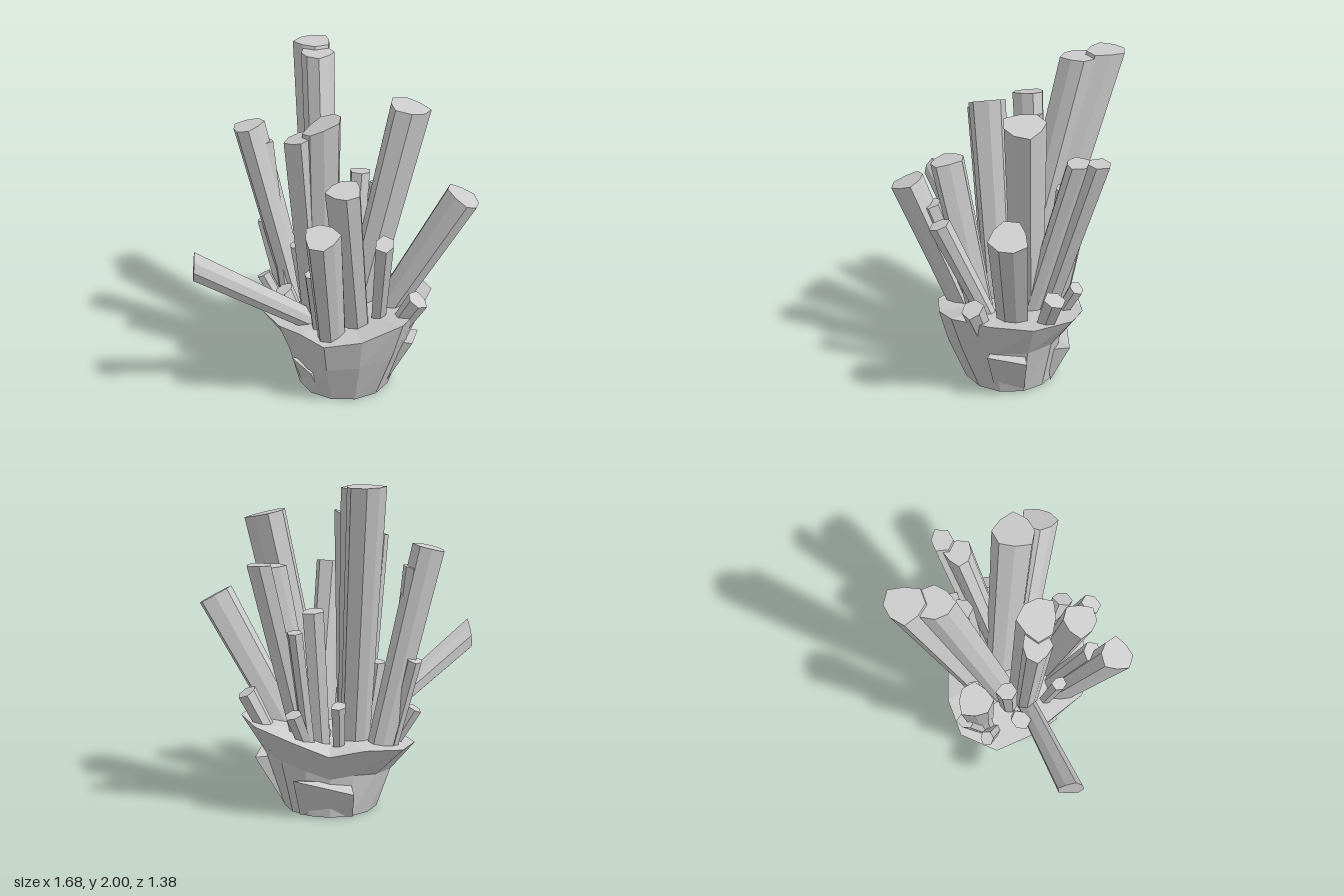
import * as THREE from 'three';
import { ConvexGeometry } from 'three/addons/geometries/ConvexGeometry.js';

const UP = new THREE.Vector3(0, 1, 0);
const CENTRE_X = 0.06;
const { smoothstep } = THREE.MathUtils;
const material = new THREE.MeshStandardMaterial({ color: 0xcccccc, flatShading: true });

function addMesh(parent, name, geometry) {
  const mesh = new THREE.Mesh(geometry, material);
  mesh.name = name;
  parent.add(mesh);
}

// Point at an angle around the rock, running from +x towards +z
const around = (angle, radius, y) =>
  new THREE.Vector3(CENTRE_X + radius * Math.cos(angle), y, radius * Math.sin(angle));

// Uneven prism from base to tip; its end is cut by a plane through the tip
function crystalGeometry(base, tip, radius, seed, slope) {
  const sides = radius > 0.07 ? 8 : 6;
  const axis = tip.clone().sub(base);
  const length = axis.length();
  axis.normalize();
  const geometry = new THREE.CylinderGeometry(radius, radius * 0.8, length, sides, 1);
  geometry.translate(0, length / 2, 0);
  const turn = new THREE.Quaternion().setFromUnitVectors(UP, axis);
  const normal = slope === undefined ? axis : new THREE.Vector3(slope, 1, 0).normalize();
  const pos = geometry.attributes.position;
  const p = new THREE.Vector3();
  for (let i = 0; i < pos.count; i++) {
    p.fromBufferAttribute(pos, i);
    const top = p.y > length / 2;
    const side = (Math.round(Math.atan2(p.x, p.z) / (2 * Math.PI / sides)) + sides) % sides;
    const uneven = 1 + 0.12 * Math.sin(side * 2.4 + seed * 1.7);
    p.x *= uneven;
    p.z *= uneven;
    p.applyQuaternion(turn).add(base);
    if (top) p.addScaledVector(axis, normal.dot(tip.clone().sub(p)) / normal.dot(axis));
    pos.setXYZ(i, p.x, p.y, p.z);
  }
  geometry.computeVertexNormals();
  return geometry;
}

// Rim is high and level on the left, dips across the front and drops at the back
const rimHeight = ({ x, z }) =>
  0.455 + 0.125 * smoothstep(x, -0.02, 0.34) - 0.045 * smoothstep(-x, 0.2, 0.45)
  - 0.09 * smoothstep(-z, 0.2, 0.42) * smoothstep(x, -0.1, 0.2);

// Rock skin lofted from the foot to a flared rim, closed by a fan at each end
function rockGeometry(rimRadii) {
  const n = rimRadii.length;
  const rings = [[], [], []];
  rimRadii.forEach((radius, i) => {
    const angle = (i / n) * Math.PI * 2;
    const foot = around(angle, 0.285 + 0.02 * Math.sin(angle), 0);
    const rim = around(angle, radius, 0);
    rim.y = rimHeight(rim);
    // Full at the front, hollow under the rim at the back
    const waist = foot.clone().lerp(rim, 0.42 + 0.25 * Math.sin(angle));
    waist.y = rim.y * 0.58;
    [foot, waist, rim].forEach((p, r) => rings[r].push(p));
  });
  const points = [...rings.flat(), around(0, 0, 0), around(0, 0, 0.48)];
  const index = [];
  const last = 2 * n;
  for (let i = 0; i < n; i++) {
    const j = (i + 1) % n;
    for (let r = 0; r < last; r += n) {
      index.push(r + i, r + n + i, r + j, r + j, r + n + i, r + n + j);
    }
    index.push(i, j, last + n);
    index.push(last + i, last + n + 1, last + j);
  }
  const geometry = new THREE.BufferGeometry().setFromPoints(points);
  geometry.setIndex(index);
  geometry.computeVertexNormals();
  return geometry;
}

// Wedge that leans out of the rock side, with a flat broken top
function slabGeometry(angle, reach, height, spread) {
  const points = [];
  for (const s of [-spread, spread]) {
    points.push(
      around(angle + s, 0.28, 0),
      around(angle + s * 0.8, reach, height + s * 0.06),
      around(angle + s, 0.25, height),
    );
  }
  return new ConvexGeometry(points);
}

export function createModel() {
  const model = new THREE.Group();
  model.name = 'crystalCluster';

  // Rock base, rim radius at even steps of angle
  const rimRadii = [0.54, 0.5, 0.53, 0.47, 0.46, 0.39, 0.42, 0.51, 0.52, 0.45, 0.42, 0.45, 0.53];
  addMesh(model, 'rockBase', rockGeometry(rimRadii));

  // Broken slabs on the sides of the rock
  addMesh(model, 'leftSlab', slabGeometry(0.3, 0.46, 0.32, 0.32));
  addMesh(model, 'backSlab', slabGeometry(-1.35, 0.39, 0.21, 0.6));
  addMesh(model, 'rightSlab', slabGeometry(2.5, 0.36, 0.2, 0.3));

  const crystals = new THREE.Group();
  crystals.name = 'crystals';
  model.add(crystals);

  // Large crystals: root x z, tip x y z, radius, optional slope of the end cut (0 is level)
  const large = {
    tallCrystal: [-0.06, -0.14, -0.07, 2, -0.58, 0.11, 0],
    tallCrystalTwin: [-0.06, -0.05, -0.06, 1.98, -0.42, 0.1, 0],
    leftTallCrystal: [0.14, -0.07, 0.43, 1.79, 0.02, 0.12],
    centreCrystal: [-0.07, 0.06, -0.08, 1.74, 0.13, 0.11, -0.45],
    centreCrystalTwin: [-0.12, 0.07, -0.21, 1.66, 0.12, 0.085, -0.3],
    rightTallCrystal: [-0.21, -0.22, -0.49, 1.61, -0.23, 0.095],
    backLeftCrystal: [0.24, -0.14, 0.5, 1.55, -0.39, 0.07, 0],
    backLeftCrystalTwin: [0.2, -0.06, 0.43, 1.53, -0.3, 0.08, 0],
    leftLeaningCrystal: [0.27, 0.04, 0.74, 1.28, 0.18, 0.108],
    frontLeaningCrystal: [-0.05, 0.27, -0.13, 1.26, 0.59, 0.1],
    frontLeaningCrystalTwin: [0, 0.22, -0.06, 1.13, 0.46, 0.06],
    frontCrystal: [0.12, 0.2, 0.02, 1.44, 0.38, 0.1],
    frontSlimCrystal: [0.25, 0.15, 0.24, 1.14, 0.47, 0.06],
    lowRightCrystal: [-0.08, 0.06, -0.84, 0.97, 0.3, 0.075, -12],
  };
  Object.entries(large).forEach(([name, [rootX, rootZ, x, y, z, radius, slope]], i) => {
    const root = new THREE.Vector3(rootX, 0.4, rootZ);
    addMesh(crystals, name, crystalGeometry(root, new THREE.Vector3(x, y, z), radius, i, slope));
  });

  // Small crystals lean outwards from the middle: tip x y z, radius
  const small = {
    frontStub: [0.46, 0.69, 0.33, 0.065],
    leftStub: [0.57, 0.75, -0.13, 0.06],
    backSlimCrystal: [0.19, 1.26, -0.29, 0.065],
    backThinCrystal: [0.3, 1.15, -0.35, 0.045],
    rightInnerCrystal: [-0.21, 0.9, -0.05, 0.06],
    rightStub: [-0.31, 0.64, 0.03, 0.06],
    rightLeaningStub: [-0.42, 0.64, -0.18, 0.045],
    rightThinCrystal: [-0.39, 1.5, -0.24, 0.05],
    backRightCrystal: [-0.4, 0.96, -0.3, 0.05],
    backStub: [0.05, 0.71, -0.35, 0.045],
    backLeftStub: [0.31, 0.66, -0.33, 0.05],
    frontRightSliver: [-0.16, 0.86, 0.27, 0.045],
  };
  Object.entries(small).forEach(([name, [x, y, z, radius]], i) => {
    const root = new THREE.Vector3(x * 0.7, 0.4, z * 0.7);
    addMesh(crystals, name, crystalGeometry(root, new THREE.Vector3(x, y, z), radius, i));
  });
  return model;
}
